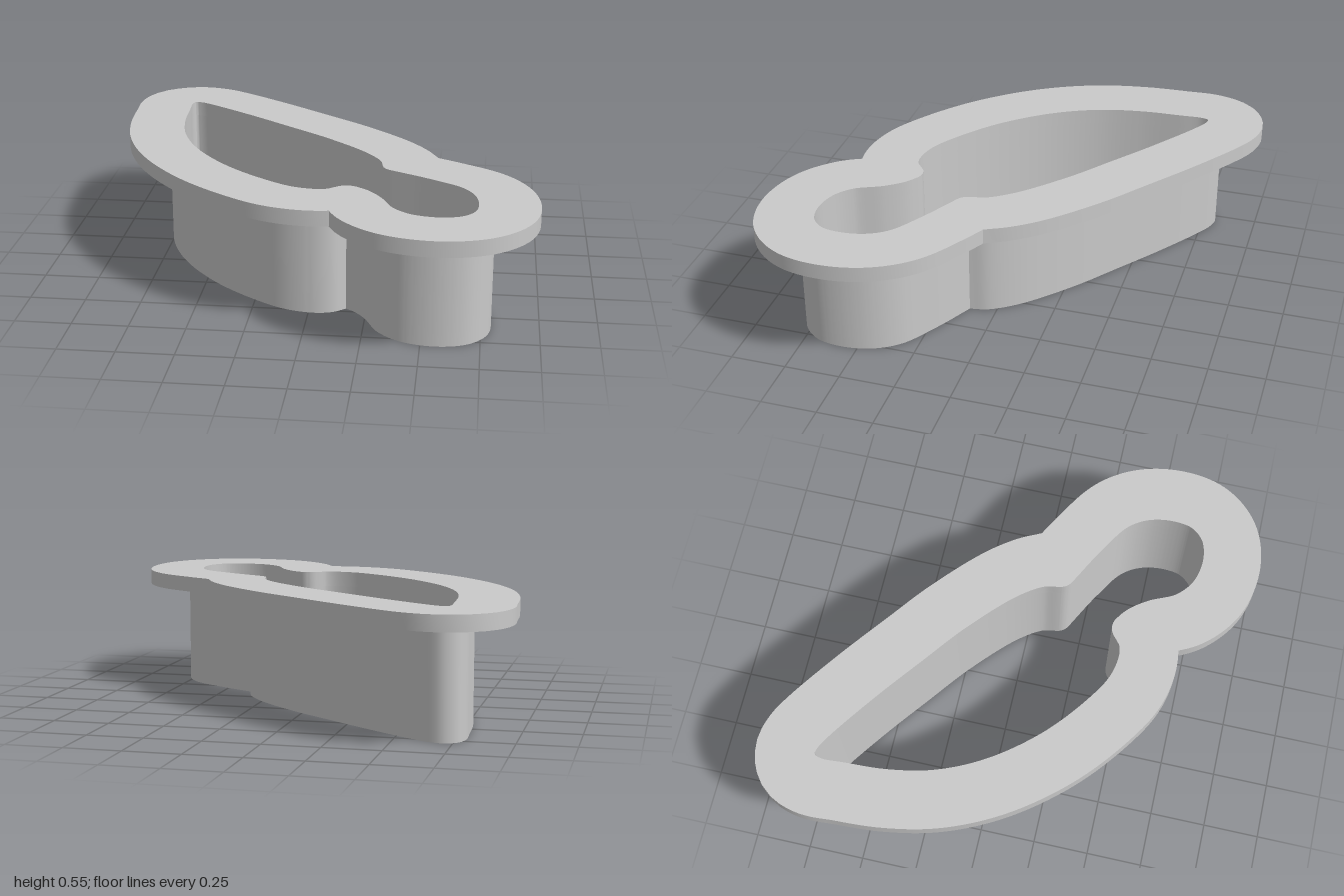
import * as THREE from 'three';
import { toCreasedNormals } from 'three/addons/utils/BufferGeometryUtils.js';

// Outer face of the cutting wall, as (x, z) points: two lobes meeting in sharp notches
const LARGE_LOBE = [
  [0.36, 0.12], [0.343, 0.04], [0.262, -0.085], [0.055, -0.285], [-0.15, -0.445], [-0.36, -0.605],
  [-0.58, -0.758], [-0.65, -0.797], [-0.71, -0.81], [-0.766, -0.784], [-0.792, -0.72], [-0.789, -0.6],
  [-0.776, -0.4], [-0.73, -0.19], [-0.625, 0.03], [-0.45, 0.25], [-0.25, 0.417], [-0.1, 0.504],
  [0.03, 0.528], [0.105, 0.512], [0.16, 0.47],
];
const SMALL_LOBE = [
  [0.16, 0.47], [0.2, 0.5], [0.25, 0.565], [0.315, 0.692], [0.42, 0.778], [0.57, 0.808],
  [0.695, 0.775], [0.772, 0.69], [0.794, 0.57], [0.77, 0.435], [0.7, 0.325], [0.545, 0.22], [0.36, 0.12],
];

// Sample a lobe into points with outward normals
function sampleLobe(points) {
  const curve = new THREE.CatmullRomCurve3(points.map(([x, z]) => new THREE.Vector3(x, z, 0)));
  const n = 200;
  return Array.from({ length: n + 1 }, (_, i) => {
    const p = curve.getPointAt(i / n), t = curve.getTangentAt(i / n);
    return { p: new THREE.Vector2(p.x, p.y), n: new THREE.Vector2(-t.y, t.x) };
  });
}

// Closed base outline, with normals swept round at each notch
function baseOutline() {
  const lobes = [sampleLobe(LARGE_LOBE), sampleLobe(SMALL_LOBE)];
  const out = [];
  lobes.forEach((lobe, k) => {
    out.push(...lobe);
    const end = lobe[lobe.length - 1], next = lobes[1 - k][0];
    for (let i = 1; i < 12; i++) {
      out.push({ p: end.p, n: end.n.clone().lerp(next.n, i / 12).normalize() });
    }
  });
  return out;
}

// Parallel outline at distance d, dropping the stretches that fold over themselves
function offset(base, d) {
  const result = [];
  for (const { p, n } of base) {
    const q = p.clone().addScaledVector(n, d);
    const nearest = Math.min(...base.map((b) => b.p.distanceTo(q)));
    const last = result[result.length - 1];
    if (nearest < Math.abs(d) - 0.001) continue;
    if (last && last.distanceTo(q) < 0.002) continue;
    result.push(q);
  }
  if (result[0].distanceTo(result[result.length - 1]) < 0.002) result.pop();
  return result;
}

// Ring between two outlines, standing from y0 to y1; the hole winds against the outer edge
function ring(name, outer, inner, y0, y1, material) {
  const shape = new THREE.Shape(outer);
  shape.holes.push(new THREE.Path([...inner].reverse()));
  let geometry = new THREE.ExtrudeGeometry(shape, { depth: y1 - y0, bevelEnabled: false, curveSegments: 1 });
  geometry.rotateX(Math.PI / 2);
  geometry.translate(0, y1, 0);
  geometry = toCreasedNormals(geometry, 0.5);
  const mesh = new THREE.Mesh(geometry, material);
  mesh.name = name;
  return mesh;
}

export function createModel() {
  const grey = new THREE.MeshStandardMaterial({ color: 0xcacaca });
  grey.name = 'light grey';

  const base = baseOutline();
  const wallOuter = offset(base, 0);
  const opening = offset(base, -0.07);
  const rim = offset(base, 0.19);

  const group = new THREE.Group();
  group.name = 'cutter';
  group.add(
    ring('cuttingWall', wallOuter, opening, 0, 0.48, grey),
    ring('topFlange', rim, opening, 0.48, 0.55, grey),
  );
  return group;
}
